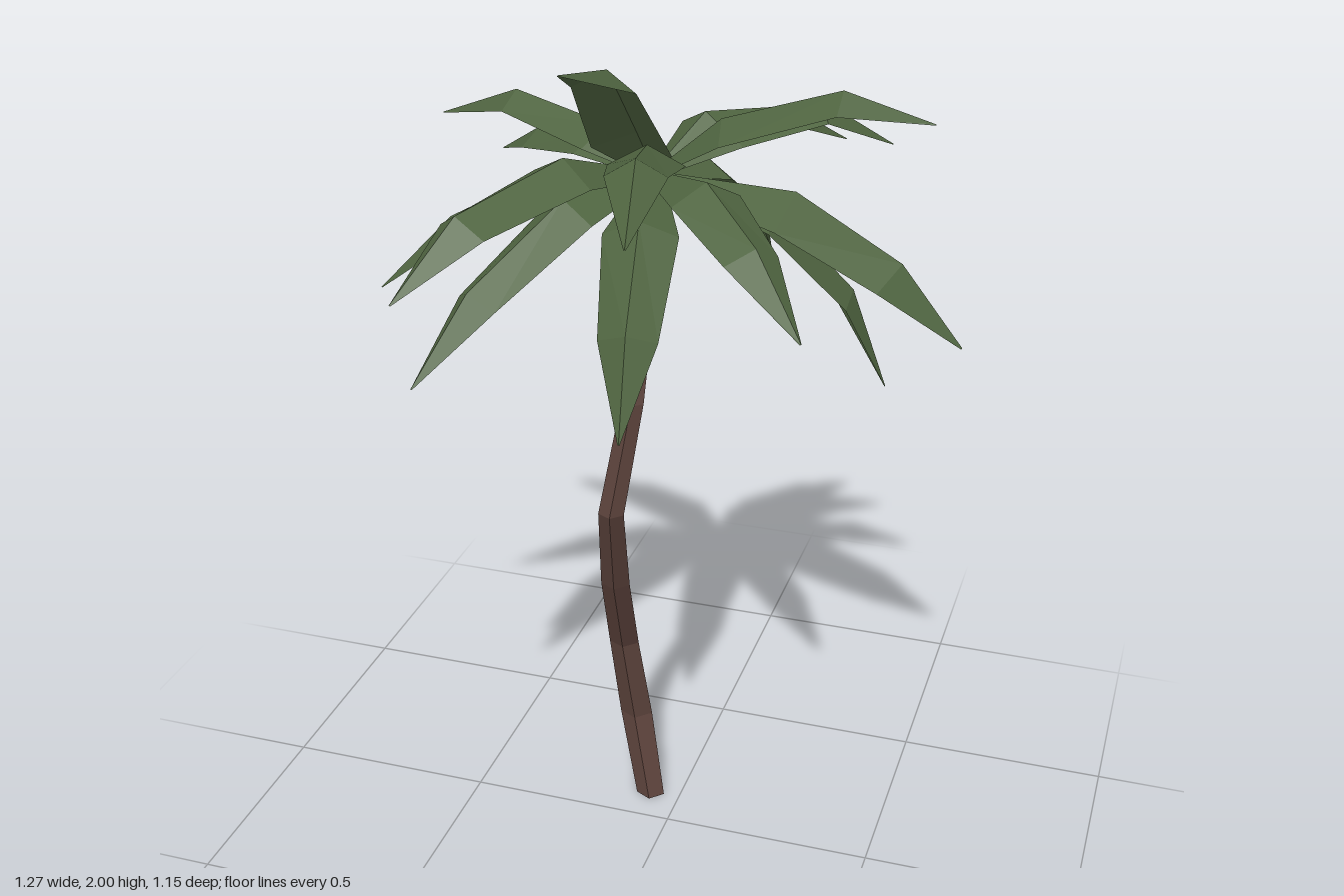
import * as THREE from 'three';

const leafGreen = new THREE.MeshStandardMaterial({ color: 0x4f6440, flatShading: true, side: THREE.DoubleSide });
leafGreen.name = 'leafGreen';
const barkBrown = new THREE.MeshStandardMaterial({ color: 0x5e443d, flatShading: true, side: THREE.DoubleSide });
barkBrown.name = 'barkBrown';

// Joins equal-length cross-sections into a faceted skin
function loft(rings, closed) {
  const pos = [];
  const n = rings[0].length;
  for (let i = 0; i < rings.length - 1; i++) {
    for (let j = 0; j < (closed ? n : n - 1); j++) {
      const k = (j + 1) % n;
      const a = rings[i][j], b = rings[i][k], c = rings[i + 1][k], d = rings[i + 1][j];
      for (const v of [a, c, b, a, d, c]) pos.push(v.x, v.y, v.z);
    }
  }
  if (closed) {
    // flat foot
    for (let j = 1; j < n - 1; j++) {
      for (const v of [rings[0][0], rings[0][j], rings[0][j + 1]]) pos.push(v.x, v.y, v.z);
    }
  }
  const geo = new THREE.BufferGeometry();
  geo.setAttribute('position', new THREE.Float32BufferAttribute(pos, 3));
  geo.computeVertexNormals();
  return geo;
}

// Crooked five-sided trunk: x, y, z, radius
const TRUNK = [
  [-0.075, 0, -0.10, 0.036], [-0.12, 0.22, -0.13, 0.041], [-0.135, 0.45, -0.085, 0.037],
  [-0.11, 0.69, 0.045, 0.035], [-0.08, 0.935, 0.155, 0.03], [-0.037, 1.20, 0.13, 0.026],
  [-0.032, 1.45, 0.045, 0.024], [-0.05, 1.65, -0.05, 0.02],
];

function makeTrunk() {
  const rings = TRUNK.map(([x, y, z, r]) => Array.from({ length: 5 }, (_, j) => {
    const a = (j / 5) * Math.PI * 2 + 0.157;
    return new THREE.Vector3(x + Math.cos(a) * r, y, z + Math.sin(a) * r);
  }));
  return new THREE.Mesh(loft(rings, true), barkBrown);
}

// Fronds: tip x, tip z, tip height, then reach and height of the two bends, and breadth
const CROWN = new THREE.Vector3(-0.05, 1.655, -0.06);
const FRONDS = [
  [0.08, -0.58, 1.305, 0.40, 1.63, 0.78, 1.48, 1],
  [0.255, -0.57, 1.60, 0.25, 1.755, 0.68, 1.715, 1],
  [0.395, -0.41, 1.65, 0.28, 1.75, 0.68, 1.77, 1],
  [0.425, -0.315, 1.105, 0.48, 1.565, 0.84, 1.35, 1.1],
  [0.635, -0.035, 1.345, 0.46, 1.645, 0.80, 1.515, 1.35],
  [0.385, 0.37, 1.49, 0.38, 1.70, 0.71, 1.625, 1],
  [0.10, 0.575, 1.725, 0.25, 1.765, 0.64, 1.82, 1],
  [-0.065, 0.455, 2.0, 0.20, 1.77, 0.52, 1.945, 1.1],
  [-0.39, 0.55, 1.545, 0.36, 1.74, 0.76, 1.685, 1.1],
  [-0.395, 0.47, 1.33, 0.38, 1.645, 0.77, 1.50, 1],
  [-0.64, 0.075, 1.37, 0.39, 1.645, 0.73, 1.54, 0.95],
  [-0.61, -0.24, 1.68, 0.21, 1.735, 0.63, 1.77, 0.95],
  [-0.52, -0.37, 1.565, 0.33, 1.70, 0.74, 1.65, 0.95],
  [0.04, 0.45, 1.26, 0.42, 1.62, 0.80, 1.45, 1],
  [0.55, -0.035, 1.82, 0.25, 1.785, 0.68, 1.87, 1],
];
const HALF_WIDTH = [0.02, 0.08, 0.062, 0.002];
const FOLD = [0.01, 0.042, 0.038, 0.002];

// Folded leaf: raised midrib with both edges hanging lower
function makeFrond([tx, tz, tipY, t1, y1, t2, y2, breadth]) {
  const spine = [[0, CROWN.y], [t1, y1], [t2, y2], [1, tipY]].map(([t, y]) => new THREE.Vector3(
    THREE.MathUtils.lerp(CROWN.x, tx, t), y, THREE.MathUtils.lerp(CROWN.z, tz, t)));
  const side = new THREE.Vector3(-(tz - CROWN.z), 0, tx - CROWN.x).normalize();
  const rings = spine.map((p, i) => {
    const along = spine[Math.min(i + 1, 3)].clone().sub(spine[Math.max(i - 1, 0)]).normalize();
    const up = along.cross(side).multiplyScalar(-1);
    const edge = (s) => p.clone()
      .addScaledVector(side, s * HALF_WIDTH[i] * breadth)
      .addScaledVector(up, -FOLD[i] * breadth);
    return [edge(1), p, edge(-1)];
  });
  return new THREE.Mesh(loft(rings, false), leafGreen);
}

export function createModel() {
  const palm = new THREE.Group();
  palm.name = 'palmTree';
  const trunk = makeTrunk();
  trunk.name = 'trunk';
  palm.add(trunk);

  const crown = new THREE.Group();
  crown.name = 'crown';
  FRONDS.forEach((f, i) => {
    const frond = makeFrond(f);
    frond.name = `frond${i + 1}`;
    crown.add(frond);
  });
  palm.add(crown);
  return palm;
}
